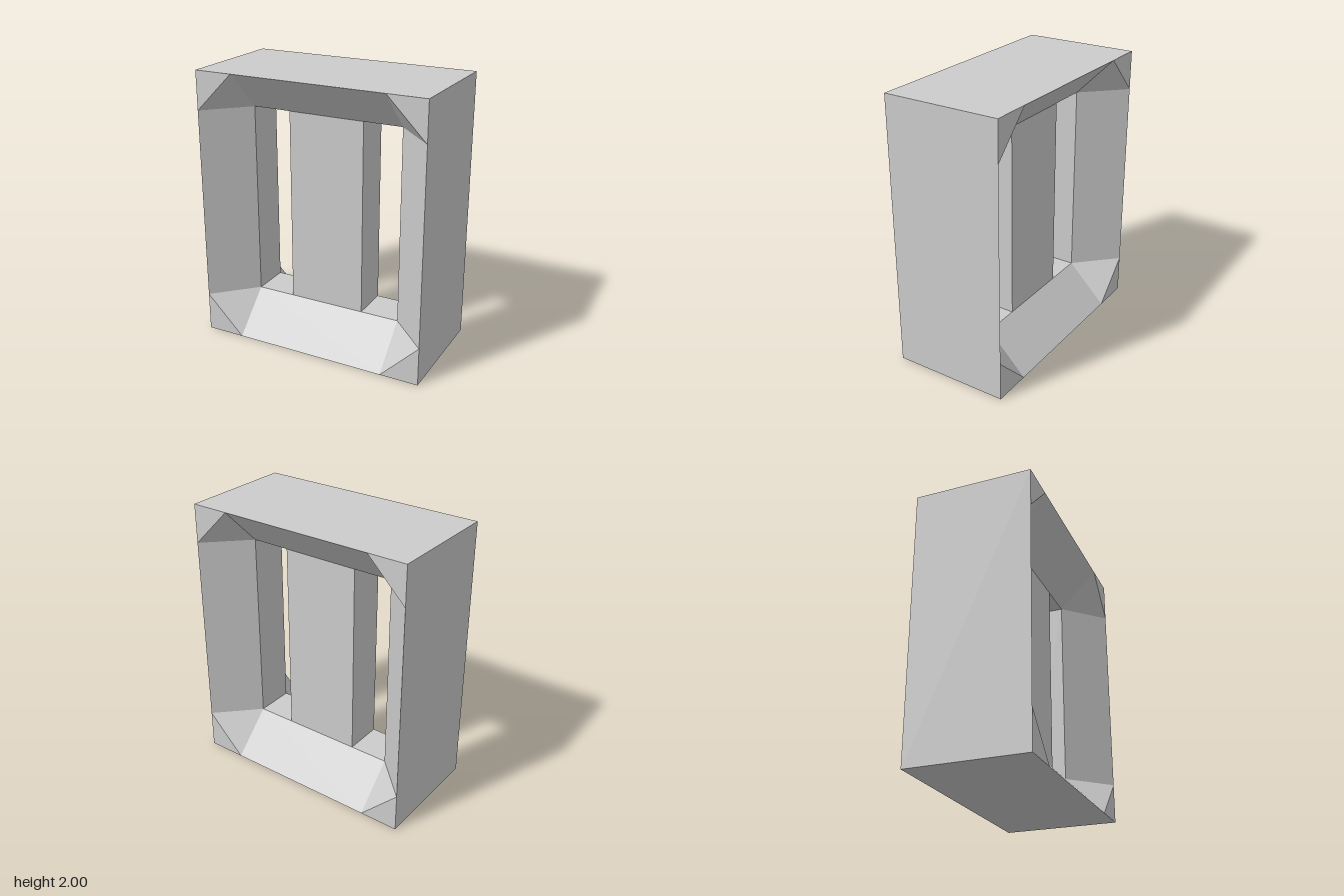
import * as THREE from 'three';

const U = 1 / 7; // the design sits on a grid of sevenths

// Eight-point rectangle, counter-clockwise from the front, corners cut by c
function ring(w, h, c, z) {
  return [
    [w, h - c], [w - c, h], [c - w, h], [-w, h - c],
    [-w, c - h], [c - w, -h], [w - c, -h], [w, c - h],
  ].map(([x, y]) => new THREE.Vector3(x, y, z));
}

// Joins consecutive rings into a closed loop, skipping zero-area triangles
function loftLoop(rings) {
  const pos = [];
  const tri = (...p) => {
    if (new THREE.Triangle(...p).getArea() > 1e-6) p.forEach(v => pos.push(v.x, v.y, v.z));
  };
  rings.forEach((a, r) => {
    const b = rings[(r + 1) % rings.length];
    for (let i = 0; i < 8; i++) {
      const j = (i + 1) % 8;
      tri(a[i], b[i], b[j]);
      tri(a[i], b[j], a[j]);
    }
  });
  const geo = new THREE.BufferGeometry();
  geo.setAttribute('position', new THREE.Float32BufferAttribute(pos, 3));
  geo.computeVertexNormals();
  return geo;
}

export function createModel() {
  const group = new THREE.Group();
  const material = new THREE.MeshStandardMaterial({ color: 0xcccccc, flatShading: true });
  const add = (name, geo) => {
    const mesh = new THREE.Mesh(geo, material);
    mesh.name = name;
    mesh.position.y = 1;
    mesh.scale.setScalar(U);
    group.add(mesh);
  };

  // Outer frame: bevelled inward on front and back to a narrow opening
  add('frame', loftLoop([
    ring(6, 7, 0, 3), ring(6, 7, 0, -3),   // outer walls
    ring(6, 7, 2, -3), ring(4, 5, 0, -1),  // back corners and bevel
    ring(4, 5, 0, 1), ring(6, 7, 2, 3),    // opening and front bevel
  ]));

  // Upright bar in the middle of the opening
  add('centreBar', new THREE.BoxGeometry(4, 10, 2));

  return group;
}
